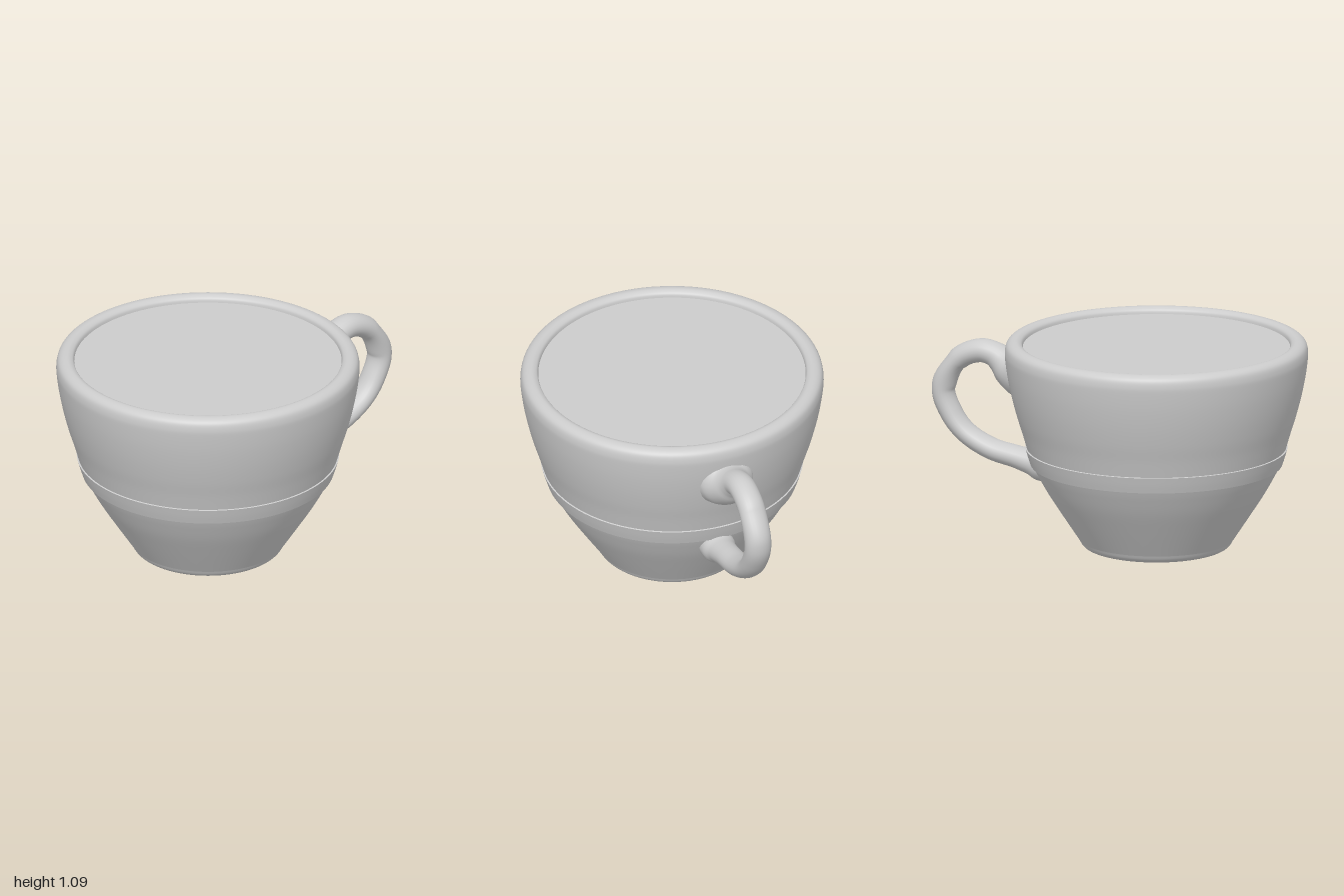
import * as THREE from 'three';
import { mergeVertices } from 'three/addons/utils/BufferGeometryUtils.js';

const material = new THREE.MeshStandardMaterial({ color: 0xcccccc, side: THREE.DoubleSide });
const CUP_Z = 0.225;

// Turn a smooth curve through [radius, height] points around the cup axis
function turned(name, points, steps) {
  const curve = new THREE.SplineCurve(points.map(([r, y]) => new THREE.Vector2(r, y)));
  const mesh = new THREE.Mesh(new THREE.LatheGeometry(curve.getPoints(steps), 96), material);
  mesh.name = name;
  mesh.position.z = CUP_Z;
  return mesh;
}

// Round tube along a path in the z-y plane; stations are [z, y, radius in plane, radius across]
function sweptHandle(stations) {
  const path = new THREE.CatmullRomCurve3(stations.map(([z, y]) => new THREE.Vector3(0, y, z)));
  const radii = new THREE.CatmullRomCurve3(stations.map(([, , a, b]) => new THREE.Vector3(b, a, 0)));
  const rings = 96, sides = 24;
  const geometry = new THREE.TubeGeometry(path, rings, 1, sides, false);
  const pos = geometry.attributes.position;
  const v = new THREE.Vector3();
  for (let i = 0; i <= rings; i++) {
    const centre = path.getPointAt(i / rings);
    const r = radii.getPoint(path.getUtoTmapping(i / rings));
    for (let j = 0; j <= sides; j++) {
      const k = i * (sides + 1) + j;
      v.fromBufferAttribute(pos, k).sub(centre);
      pos.setXYZ(k, v.x * r.x, centre.y + v.y * r.y, centre.z + v.z * r.y);
    }
  }
  // Weld the seam so the shading stays smooth
  geometry.deleteAttribute('normal');
  geometry.deleteAttribute('uv');
  const welded = mergeVertices(geometry, 1e-5);
  welded.computeVertexNormals();
  return welded;
}

export function createModel() {
  const group = new THREE.Group();
  group.name = 'cup';

  // Body: base, lower bowl, raised belt, upper bowl with rounded rim
  group.add(
    turned('base', [[0, 0.006], [0.2, 0.004], [0.31, 0.006], [0.355, 0.014], [0.38, 0.03], [0.395, 0.055]], 40),
    turned('lowerBowl', [[0.395, 0.055], [0.49, 0.2], [0.56, 0.31], [0.61, 0.4], [0.635, 0.45]], 32),
    turned('beltLowerEdge', [[0.633, 0.45], [0.645, 0.45]], 1),
    turned('belt', [[0.645, 0.45], [0.658, 0.49], [0.671, 0.535]], 8),
    turned('beltUpperEdge', [[0.671, 0.535], [0.664, 0.537]], 1),
    turned('upperBowl', [[0.664, 0.537], [0.688, 0.62], [0.716, 0.71], [0.742, 0.81], [0.762, 0.91],
      [0.774, 1.0], [0.775, 1.04], [0.767, 1.072], [0.747, 1.09], [0.72, 1.096], [0.7, 1.09],
      [0.687, 1.077], [0.682, 1.05]], 72),
  );

  // Flat surface just below the rim
  const drink = new THREE.Mesh(new THREE.CircleGeometry(0.684, 96), material);
  drink.name = 'drinkSurface';
  drink.rotation.x = -Math.PI / 2;
  drink.position.set(0, 1.062, CUP_Z);
  group.add(drink);

  // Ear-shaped handle, flaring where it meets the wall
  const handle = new THREE.Mesh(sweptHandle([
    [-0.46, 0.862, 0.15, 0.16],
    [-0.53, 0.875, 0.13, 0.14],
    [-0.575, 0.89, 0.105, 0.108],
    [-0.62, 0.92, 0.075, 0.082],
    [-0.66, 0.945, 0.064, 0.072],
    [-0.735, 0.958, 0.061, 0.07],
    [-0.853, 0.906, 0.058, 0.07],
    [-0.939, 0.745, 0.058, 0.07],
    [-0.895, 0.615, 0.056, 0.07],
    [-0.815, 0.52, 0.053, 0.07],
    [-0.68, 0.447, 0.055, 0.07],
    [-0.54, 0.415, 0.058, 0.07],
    [-0.455, 0.395, 0.066, 0.076],
    [-0.405, 0.385, 0.083, 0.09],
    [-0.36, 0.38, 0.08, 0.09],
    [-0.3, 0.38, 0.05, 0.06],
  ]), material);
  handle.name = 'handle';
  group.add(handle);

  return group;
}
